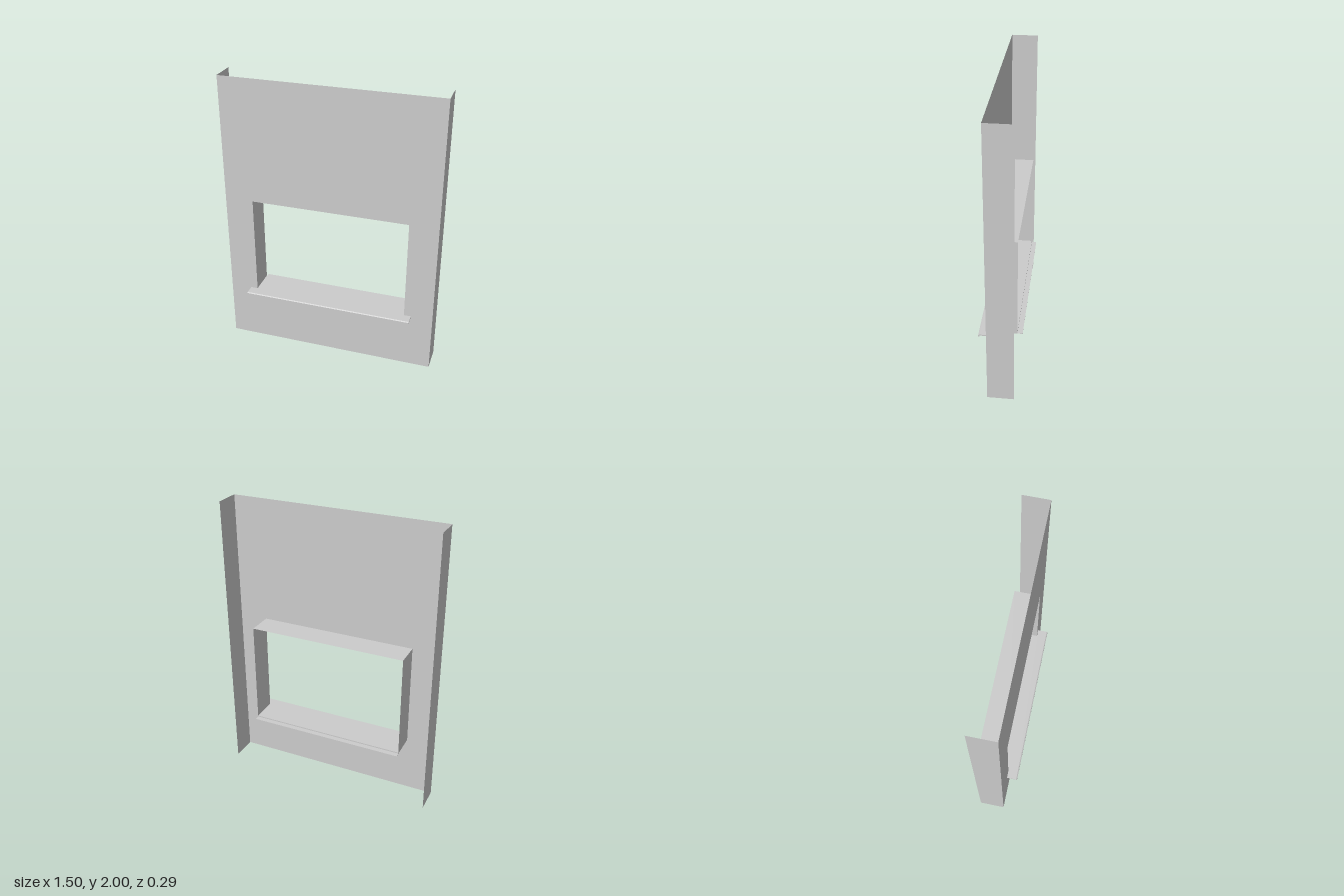
import * as THREE from 'three';

const W = 0.75, H = 2, FRONT = 0.07, BACK = -0.11;    // panel
const OW = 0.55, OB = 0.41, OT = 1.125;               // opening

export function createModel() {
  const model = new THREE.Group();
  const mat = new THREE.MeshStandardMaterial({ color: 0xcccccc, side: THREE.DoubleSide, flatShading: true });
  const add = (name, geometry, parent = model) => {
    const mesh = new THREE.Mesh(geometry, mat);
    mesh.name = name;
    parent.add(mesh);
    return mesh;
  };
  const depth = FRONT - BACK, midZ = (FRONT + BACK) / 2;

  // front sheet with the window opening
  const face = new THREE.Shape([[-W, 0], [W, 0], [W, H], [-W, H]].map(p => new THREE.Vector2(...p)));
  face.holes.push(new THREE.Path([[-OW, OB], [-OW, OT], [OW, OT], [OW, OB]].map(p => new THREE.Vector2(...p))));
  add('wallFace', new THREE.ShapeGeometry(face).translate(0, 0, FRONT));

  // returns at the wall edges and at the sides of the opening
  for (const [s, side] of [[1, 'left'], [-1, 'right']]) {
    const sheet = (name, x, y0, y1) => add(name,
      new THREE.PlaneGeometry(depth, y1 - y0).rotateY(s * Math.PI / 2).translate(s * x, (y0 + y1) / 2, midZ));
    sheet(side + 'WallReturn', W, 0, H);
    sheet(side + 'Reveal', OW, OB, OT);
  }

  // head of the opening
  add('headReveal', new THREE.PlaneGeometry(2 * OW, depth).rotateX(-Math.PI / 2).translate(0, OT, midZ));

  // sill sections are drawn in (z, y) and extruded across x
  const sill = new THREE.Group();
  sill.name = 'sill';
  model.add(sill);
  const section = (name, points, halfWidth) => {
    const shape = new THREE.Shape(points.map(([z, y]) => new THREE.Vector2(-z, y)));
    const g = new THREE.ExtrudeGeometry(shape, { depth: 2 * halfWidth, bevelEnabled: false });
    add(name, g.translate(0, 0, -halfWidth).rotateY(Math.PI / 2), sill);
  };
  // inner board, stepping down to a thin rear tongue
  section('sillBoard', [[FRONT, 0.402], [FRONT, OB], [BACK, OB], [BACK, 0.402], [-0.145, 0.402], [-0.145, 0.4], [BACK, 0.4]], OW);
  // wider nosing with a folded drip edge
  section('sillNosing', [[FRONT, 0.402], [FRONT, OB], [0.138, OB], [0.145, 0.405], [0.145, 0.395], [0.137, 0.395], [0.137, 0.402]], 0.6);

  return model;
}
